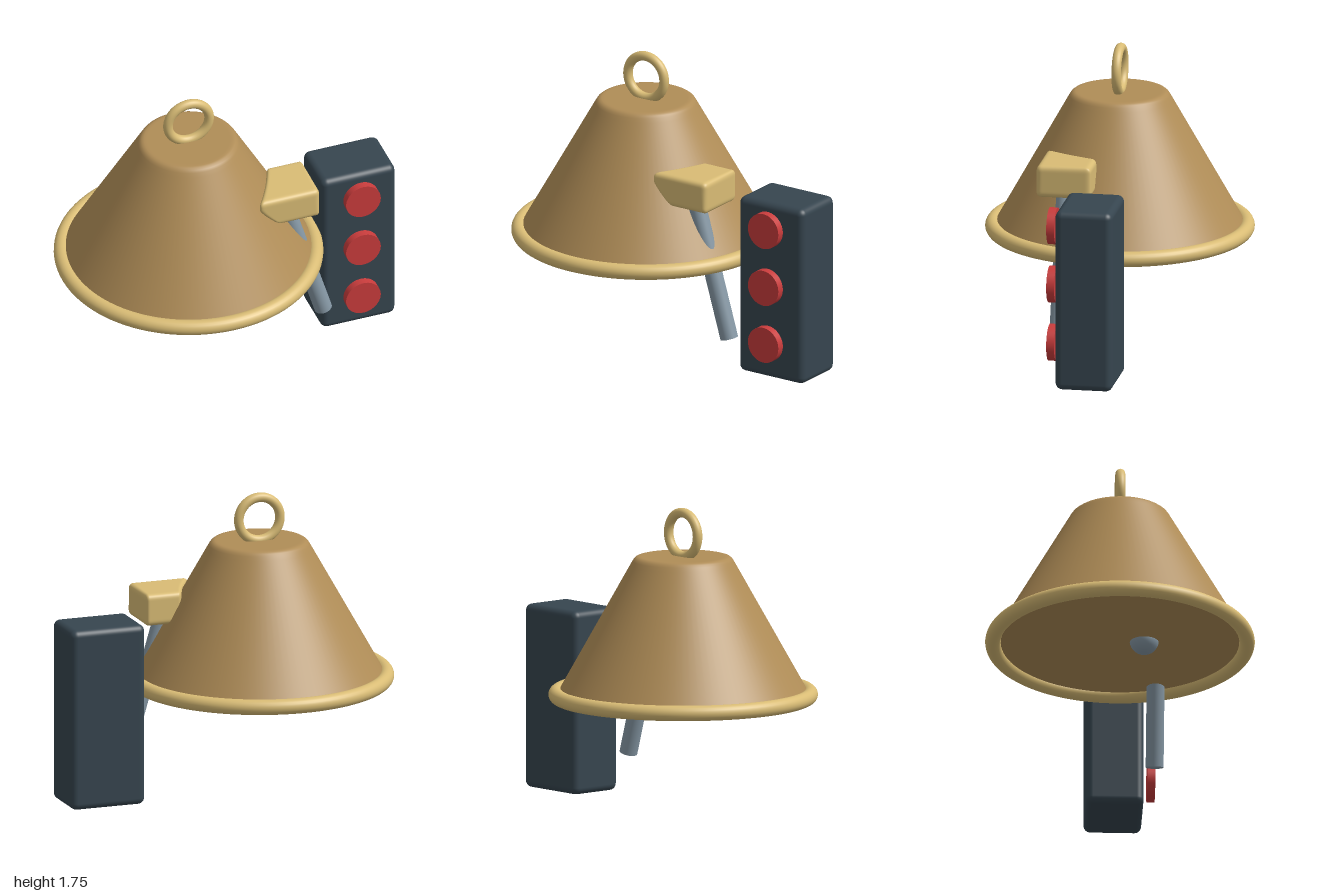
import * as THREE from 'three';
import { mergeVertices } from 'three/addons/utils/BufferGeometryUtils.js';
import { RoundedBoxGeometry } from 'three/addons/geometries/RoundedBoxGeometry.js';

const BELL_X = -0.22;

function material(name, color) {
  const m = new THREE.MeshStandardMaterial({ color });
  m.name = name;
  return m;
}

// Wedge-like block: a finely divided rounded box whose -x side is cut back
// towards the rear and towards the underside.
function hammerHeadGeometry() {
  const size = new THREE.Vector3(0.38, 0.188, 0.32);
  const r = 0.03;
  const inner = size.clone().multiplyScalar(0.5).subScalar(r);
  let g = new THREE.BoxGeometry(size.x, size.y, size.z, 38, 20, 32);
  g.deleteAttribute('normal');
  g.deleteAttribute('uv');
  g = mergeVertices(g, 1e-4);
  const pos = g.attributes.position;
  const p = new THREE.Vector3(), c = new THREE.Vector3();
  for (let i = 0; i < pos.count; i++) {
    p.fromBufferAttribute(pos, i);
    c.copy(p).clamp(inner.clone().negate(), inner);
    p.sub(c).setLength(r).add(c);
    const t = 0.5 - p.z / size.z;
    const s = 0.5 - p.y / size.y;
    const u = 0.5 - p.x / size.x;
    const rearCut = 0.165 * t * (1.3 - 0.3 * t);
    const underCut = 0.13 * Math.pow(Math.max(0, (s - 0.25) / 0.75), 1.3);
    p.x += u * Math.max(rearCut, underCut);
    pos.setXYZ(i, p.x, p.y, p.z);
  }
  g.computeVertexNormals();
  return g;
}

export function createModel() {
  const model = new THREE.Group();
  const bronze = material('bronze', 0xb08d57);
  const brass = material('brass', 0xd9bc75);
  const steel = material('steel', 0x8799a6);
  const charcoal = material('charcoal', 0x36454f);
  const red = material('red', 0xc83c3c);

  function add(name, geometry, mat, x, y, z) {
    const mesh = new THREE.Mesh(geometry, mat);
    mesh.name = name;
    mesh.position.set(x, y, z);
    model.add(mesh);
    return mesh;
  }

  // Bell body with a softened shoulder, and a flat underside
  const profile = [
    [0.731, 0.665], [0.72, 0.685], [0.305, 1.424], [0.292, 1.447],
    [0.283, 1.46], [0.271, 1.469], [0.257, 1.473], [0.24, 1.473], [0, 1.473],
  ].map(([x, y]) => new THREE.Vector2(x, y));
  add('bellBody', new THREE.LatheGeometry(profile, 96), bronze, BELL_X, 0, 0);
  add('bellUnderside', new THREE.CircleGeometry(0.731, 96), bronze, BELL_X, 0.665, 0)
    .rotation.x = Math.PI / 2;

  // Rim and hanging ring
  add('bellRim', new THREE.TorusGeometry(0.735, 0.045, 24, 96), brass, BELL_X, 0.665, 0)
    .rotation.x = Math.PI / 2;
  add('hangingRing', new THREE.TorusGeometry(0.127, 0.028, 20, 64), brass, BELL_X, 1.6, 0);

  // Clapper peeking out below the bell
  add('clapper', new THREE.SphereGeometry(0.085, 32, 20), steel, BELL_X, 0.678, 0.14);

  // Hammer: leaning handle and wedge head
  const low = new THREE.Vector3(0.525, 0.215, 0.23);
  const high = new THREE.Vector3(0.264, 1.1, 0.23);
  const axis = high.clone().sub(low);
  const mid = low.clone().add(high).multiplyScalar(0.5);
  add('hammerHandle', new THREE.CylinderGeometry(0.052, 0.052, axis.length(), 40), steel, mid.x, mid.y, mid.z)
    .quaternion.setFromUnitVectors(new THREE.Vector3(0, 1, 0), axis.normalize());
  add('hammerHead', hammerHeadGeometry(), brass, 0.265, 1.094, 0.215);

  // Signal box with three round lights
  add('signalBox', new RoundedBoxGeometry(0.457, 1.073, 0.334, 5, 0.04), charcoal, 0.77, 0.5365, 0.002);
  for (const y of [0.225, 0.575, 0.925]) {
    add('signalLight', new THREE.CylinderGeometry(0.107, 0.107, 0.046, 48), red, 0.77, y, 0.217)
      .rotation.x = Math.PI / 2;
  }
  return model;
}
